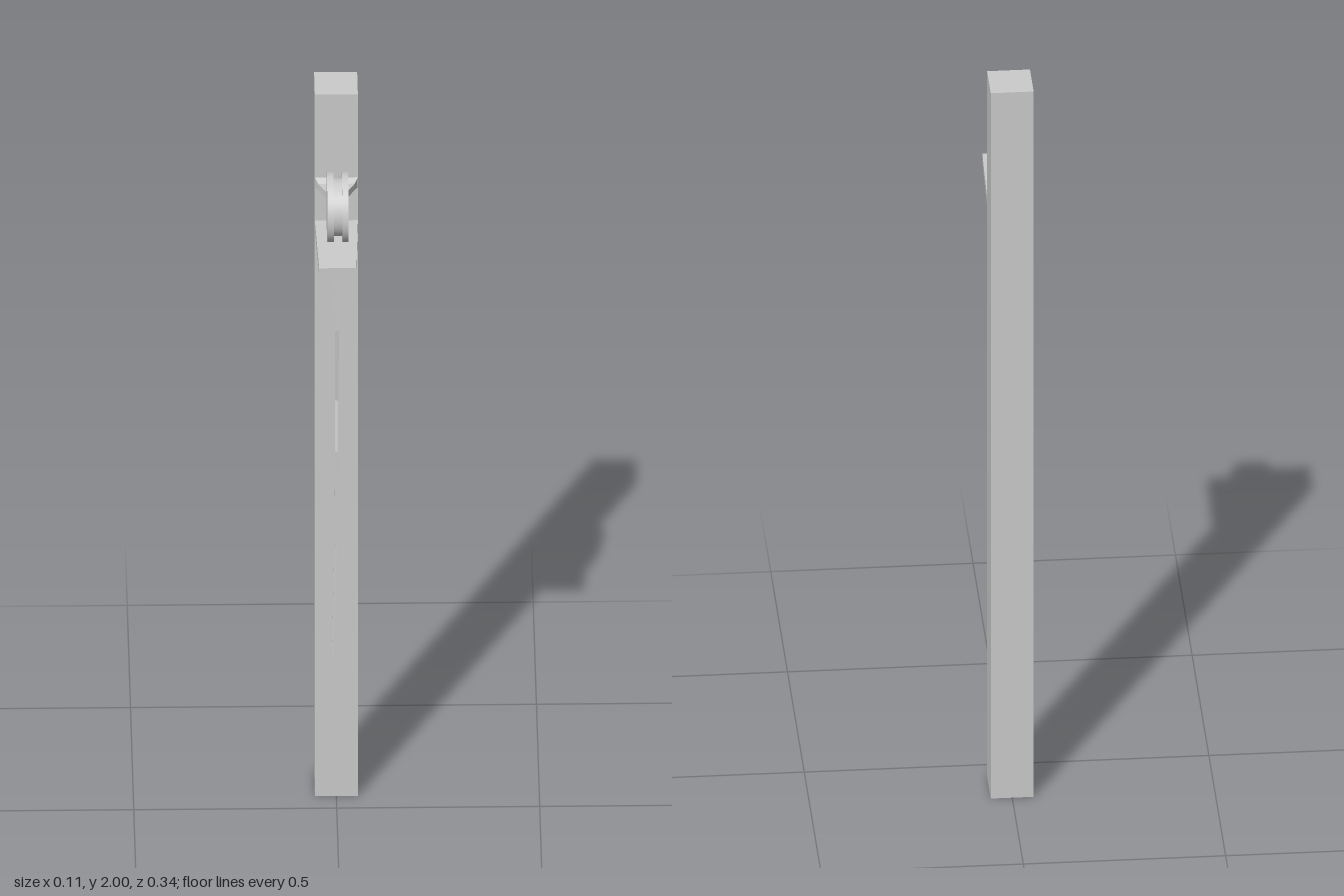
import * as THREE from 'three';

const material = new THREE.MeshStandardMaterial({ color: 0xcccccc, flatShading: true });
const smooth = new THREE.MeshStandardMaterial({ color: 0xcccccc });

function add(group, name, geometry, mat = material) {
  const mesh = new THREE.Mesh(geometry, mat);
  mesh.name = name;
  group.add(mesh);
  return mesh;
}

// Skin four-cornered rings, ordered counter-clockwise about the direction of travel.
function loft(rings) {
  const pos = [];
  const quad = (a, b, c, d) => [a, b, c, a, c, d].forEach((p) => pos.push(...p));
  for (let r = 0; r < rings.length - 1; r++) {
    const a = rings[r], b = rings[r + 1];
    for (let i = 0; i < 4; i++) {
      const j = (i + 1) % 4;
      quad(a[i], a[j], b[j], b[i]);
    }
  }
  quad(...[...rings[0]].reverse());
  quad(...rings[rings.length - 1]);
  const g = new THREE.BufferGeometry();
  g.setAttribute('position', new THREE.Float32BufferAttribute(pos, 3));
  g.computeVertexNormals();
  return g;
}

// Ring facing +z, and ring facing down.
const ringZ = (z, w, y0, y1) => [[w, y0, z], [w, y1, z], [-w, y1, z], [-w, y0, z]];
const ringDown = (y, x0, x1, z0, z1) => [[x1, y, z0], [x1, y, z1], [x0, y, z1], [x0, y, z0]];

// Stepped wheel: two flanges either side of a narrower hub.
function wheelGeometry() {
  const R = 0.087, hub = 0.072;
  const profile = [
    [0, -0.025], [R, -0.025], [R, -0.009], [hub, -0.009],
    [hub, 0.012], [R, 0.012], [R, 0.027], [0, 0.027],
  ];
  const parts = new THREE.Group();
  // Each profile step is its own lathe band, so the rims stay sharp.
  for (let i = 0; i < profile.length - 1; i++) {
    const band = [profile[i], profile[i + 1]].map((p) => new THREE.Vector2(...p));
    add(parts, 'wheelBand', new THREE.LatheGeometry(band, 40), smooth);
  }
  return parts;
}

export function createModel() {
  const model = new THREE.Group();
  model.name = 'postWithPulley';

  // Upright post
  add(model, 'post', new THREE.BoxGeometry(0.106, 2, 0.11)).position.set(0, 1, -0.114);

  // Shelf tapering towards the front
  add(model, 'shelf', loft([
    ringZ(-0.06, 0.053, 1.615, 1.641),
    ringZ(0.168, 0.046, 1.615, 1.637),
  ]));

  // Bracket narrowing from the post into the wheel
  add(model, 'wheelBracket', loft([
    ringZ(-0.06, 0.053, 1.734, 1.764),
    ringZ(-0.042, 0.045, 1.737, 1.755),
    ringZ(0.005, 0.022, 1.737, 1.755),
    ringZ(0.04, 0.007, 1.739, 1.753),
  ]));

  // Grooved wheel on a sideways axis
  const wheel = wheelGeometry();
  wheel.name = 'wheel';
  wheel.rotation.z = -Math.PI / 2;
  wheel.position.set(0, 1.745, 0.053);
  model.add(wheel);

  // Hanging cord thinning to a point
  add(model, 'cord', loft([
    ringDown(1.62, -0.009, 0.006, -0.022, -0.002),
    ringDown(1.36, -0.004, 0.006, -0.009, 0.001),
    ringDown(1.15, -0.004, 0.004, -0.028, -0.02),
    ringDown(1.02, -0.004, 0.003, -0.002, 0.005),
    ringDown(0.75, -0.006, 0.001, -0.007, -0.001),
    ringDown(0.43, -0.012, -0.008, 0.001, 0.005),
  ]));

  return model;
}
